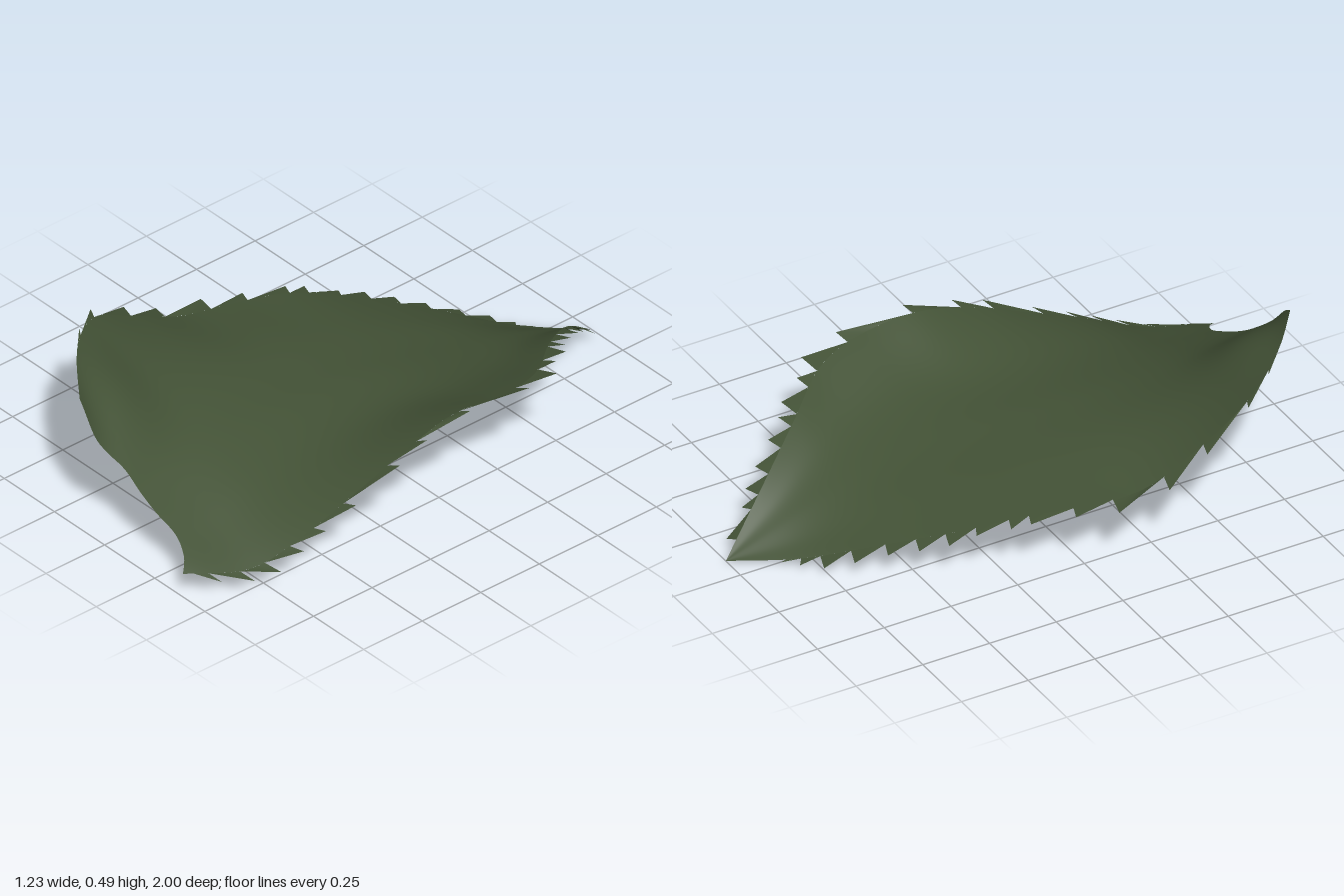
import * as THREE from 'three';

// Stations run from the leaf tip (z = -1) to its base (z = 1) in steps of 0.2.
const rightSideX = [0.095, -0.055, -0.205, -0.345, -0.45, -0.515, -0.55, -0.55, -0.52, -0.37, -0.12];
const leftSideX = [0.095, 0.205, 0.35, 0.515, 0.575, 0.57, 0.57, 0.56, 0.545, 0.5, 0.39];
// Heights across the blade, from the -x edge to the +x edge.
const heights = [
  [0, 0, 0, 0, 0],
  [0.03, 0.05, 0.08, 0.11, 0.16],
  [0.1, 0.12, 0.15, 0.19, 0.26],
  [0.165, 0.18, 0.195, 0.235, 0.32],
  [0.22, 0.225, 0.23, 0.26, 0.35],
  [0.235, 0.25, 0.25, 0.262, 0.365],
  [0.255, 0.27, 0.257, 0.25, 0.315],
  [0.345, 0.31, 0.262, 0.225, 0.235],
  [0.445, 0.36, 0.265, 0.195, 0.155],
  [0.485, 0.405, 0.255, 0.155, 0.08],
  [0.47, 0.325, 0.23, 0.155, 0.09],
];
// How far the base edge reaches, across the blade.
const baseEdge = [0.965, 0.99, 0.97, 0.945, 0.942, 0.938, 0.93, 0.955, 1.0];

// Tooth points as [x, z].
const rightTeeth = [
  [-0.02, -0.86], [-0.075, -0.82], [-0.145, -0.77], [-0.205, -0.69], [-0.265, -0.6], [-0.33, -0.52],
  [-0.385, -0.44], [-0.415, -0.355], [-0.475, -0.26], [-0.5, -0.2], [-0.55, -0.06], [-0.605, 0.07],
  [-0.62, 0.25], [-0.605, 0.4], [-0.56, 0.58], [-0.465, 0.71],
];
const leftTeeth = [
  [0.16, -0.96], [0.2, -0.88], [0.245, -0.84], [0.285, -0.78], [0.34, -0.7], [0.395, -0.63],
  [0.445, -0.59], [0.5, -0.5], [0.575, -0.44], [0.61, -0.29], [0.61, -0.04], [0.605, 0.14],
  [0.61, 0.26], [0.6, 0.44], [0.59, 0.56], [0.585, 0.65], [0.58, 0.74], [0.54, 0.82], [0.48, 0.91],
];

// Smooth lookup in an evenly spaced table, t from 0 to 1.
function sample(table, t) {
  const last = table.length - 1;
  const f = THREE.MathUtils.clamp(t, 0, 1) * last;
  const i = Math.min(Math.floor(f), last - 1);
  const k = f - i;
  const b = table[i], c = table[i + 1];
  const a = i > 0 ? table[i - 1] : 2 * b - c;
  const d = i + 2 <= last ? table[i + 2] : 2 * c - b;
  return b + 0.5 * k * (c - a + k * (2 * a - 5 * b + 4 * c - d + k * (3 * (b - c) + d - a)));
}

const columns = [0, 1, 2, 3, 4].map((j) => heights.map((row) => row[j]));
const edgeX = (table, z) => sample(table, (z + 1) / 2);

// Height of the blade at u across (0 to 1 along x) and z along; teeth carry on the edge slope.
function heightAt(u, z) {
  const row = columns.map((column) => sample(column, (z + 1) / 2));
  const inside = THREE.MathUtils.clamp(u, 0, 1);
  const over = THREE.MathUtils.clamp(u - inside, -0.06, 0.06);
  return sample(row, inside) + over * 4 * (over < 0 ? row[1] - row[0] : row[4] - row[3]);
}

function pointAt(x, z) {
  const x0 = edgeX(rightSideX, z), x1 = edgeX(leftSideX, z);
  return [x, Math.max(0, heightAt((x - x0) / Math.max(x1 - x0, 0.05), z)), z];
}

function makeMesh(name, positions, index, material) {
  const geometry = new THREE.BufferGeometry();
  geometry.setAttribute('position', new THREE.Float32BufferAttribute(positions, 3));
  geometry.setIndex(index);
  geometry.computeVertexNormals();
  const mesh = new THREE.Mesh(geometry, material);
  mesh.name = name;
  return mesh;
}

// Curved sheet inside the notches.
function makeBlade(material) {
  const rows = 60, cols = 32, positions = [], index = [];
  for (let i = 0; i <= rows; i++) {
    for (let j = 0; j <= cols; j++) {
      const u = j / cols;
      const z = -1 + (i / rows) * (sample(baseEdge, u) + 1);
      const x = THREE.MathUtils.lerp(edgeX(rightSideX, z), edgeX(leftSideX, z), u);
      positions.push(x, heightAt(u, z), z);
      if (i < rows && j < cols) {
        const a = i * (cols + 1) + j, b = a + cols + 1;
        if (i > 0) index.push(a, b, a + 1);
        index.push(b, b + 1, a + 1);
      }
    }
  }
  return makeMesh('leafBlade', positions, index, material);
}

// Forward-leaning teeth, each a small fan along the blade edge.
function makeTeeth(name, teeth, edge, flip, material) {
  const steps = 4, notch = 0.017, positions = [], index = [];
  teeth.forEach(([x, z], n) => {
    const end = n + 1 < teeth.length ? teeth[n + 1][1] + notch : Math.min(z + 0.1, 0.97);
    const tip = positions.length / 3;
    positions.push(...pointAt(x, z));
    for (let k = 0; k <= steps; k++) {
      const ze = THREE.MathUtils.lerp(z + notch, end, k / steps);
      positions.push(...pointAt(edgeX(edge, ze), ze));
      if (k > 0) {
        const p = tip + k, q = p + 1;
        index.push(...(flip ? [p, tip, q] : [p, q, tip]));
      }
    }
  });
  return makeMesh(name, positions, index, material);
}

export function createModel() {
  const group = new THREE.Group();
  group.name = 'leaf';
  const material = new THREE.MeshStandardMaterial({ color: 0x435236, side: THREE.DoubleSide });
  group.add(makeBlade(material));
  group.add(makeTeeth('rightEdgeTeeth', rightTeeth, rightSideX, true, material));
  group.add(makeTeeth('leftEdgeTeeth', leftTeeth, leftSideX, false, material));
  return group;
}
